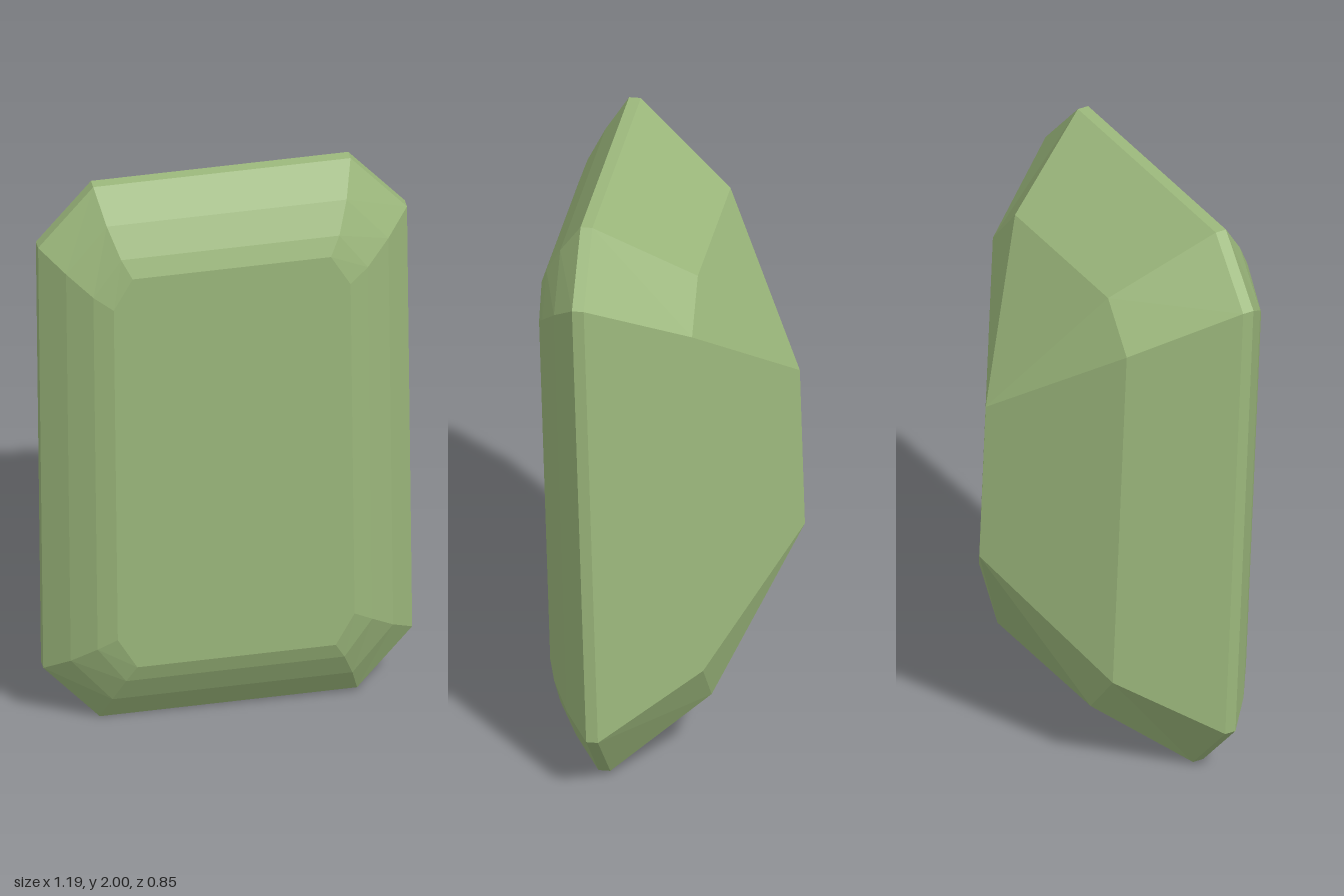
import * as THREE from 'three';

// Octagonal cross-section with cut corners, counter-clockwise seen from +z.
// hx, hy: half width and height; ix, iy: where the corner cuts begin.
function ring(hx, hy, ix, iy, z) {
  return [
    [hx, -iy], [hx, iy], [ix, hy], [-ix, hy],
    [-hx, iy], [-hx, -iy], [-ix, -hy], [ix, -hy],
  ].map(([x, y]) => new THREE.Vector3(x, y, z));
}

// Flat facets between successive rings, closed by a flat table at the front.
function facetedGeometry(rings) {
  const positions = [];
  const triangle = (a, b, c) => {
    const area = b.clone().sub(a).cross(c.clone().sub(a)).length();
    if (area > 1e-6) for (const p of [a, b, c]) positions.push(p.x, p.y, p.z);
  };
  for (let k = 0; k < rings.length - 1; k++) {
    const back = rings[k], front = rings[k + 1];
    for (let i = 0; i < 8; i++) {
      const j = (i + 1) % 8;
      triangle(back[i], back[j], front[j]);
      triangle(back[i], front[j], front[i]);
    }
  }
  const table = rings[rings.length - 1];
  for (let i = 1; i < 7; i++) triangle(table[0], table[i], table[i + 1]);

  const geometry = new THREE.BufferGeometry();
  geometry.setAttribute('position', new THREE.Float32BufferAttribute(positions, 3));
  geometry.computeVertexNormals();
  return geometry;
}

export function createModel() {
  const group = new THREE.Group();
  group.name = 'emeraldCutGem';

  const gem = new THREE.Mesh(
    facetedGeometry([
      ring(0, 0.28, 0, 0.28, -0.428),         // keel
      ring(0.403, 0.765, 0.28, 0.61, -0.166), // pavilion break
      ring(0.595, 0.993, 0.415, 0.788, 0.142), // girdle, back edge
      ring(0.595, 0.993, 0.415, 0.788, 0.18), // girdle, front edge
      ring(0.52, 0.887, 0.387, 0.725, 0.254), // first crown step
      ring(0.443, 0.79, 0.352, 0.66, 0.308),  // second crown step
      ring(0.382, 0.728, 0.32, 0.618, 0.331), // table
    ]),
    new THREE.MeshStandardMaterial({ color: 0x9cb87c, flatShading: true })
  );
  gem.name = 'gemstone';

  // The stone is turned sideways and leans slightly
  const up = new THREE.Vector3(-0.01, 1, 0.035).normalize();
  const front = new THREE.Vector3(0.98, 0.018, -0.2).cross(up).normalize();
  const side = up.clone().cross(front);
  gem.setRotationFromMatrix(new THREE.Matrix4().makeBasis(side, up, front));
  gem.position.set(-0.037, 1.006, 0.008);
  group.add(gem);

  // Rest on the ground, centred
  const box = new THREE.Box3().setFromObject(group, true);
  const centre = box.getCenter(new THREE.Vector3());
  gem.position.sub(new THREE.Vector3(centre.x, box.min.y, centre.z));
  return group;
}
